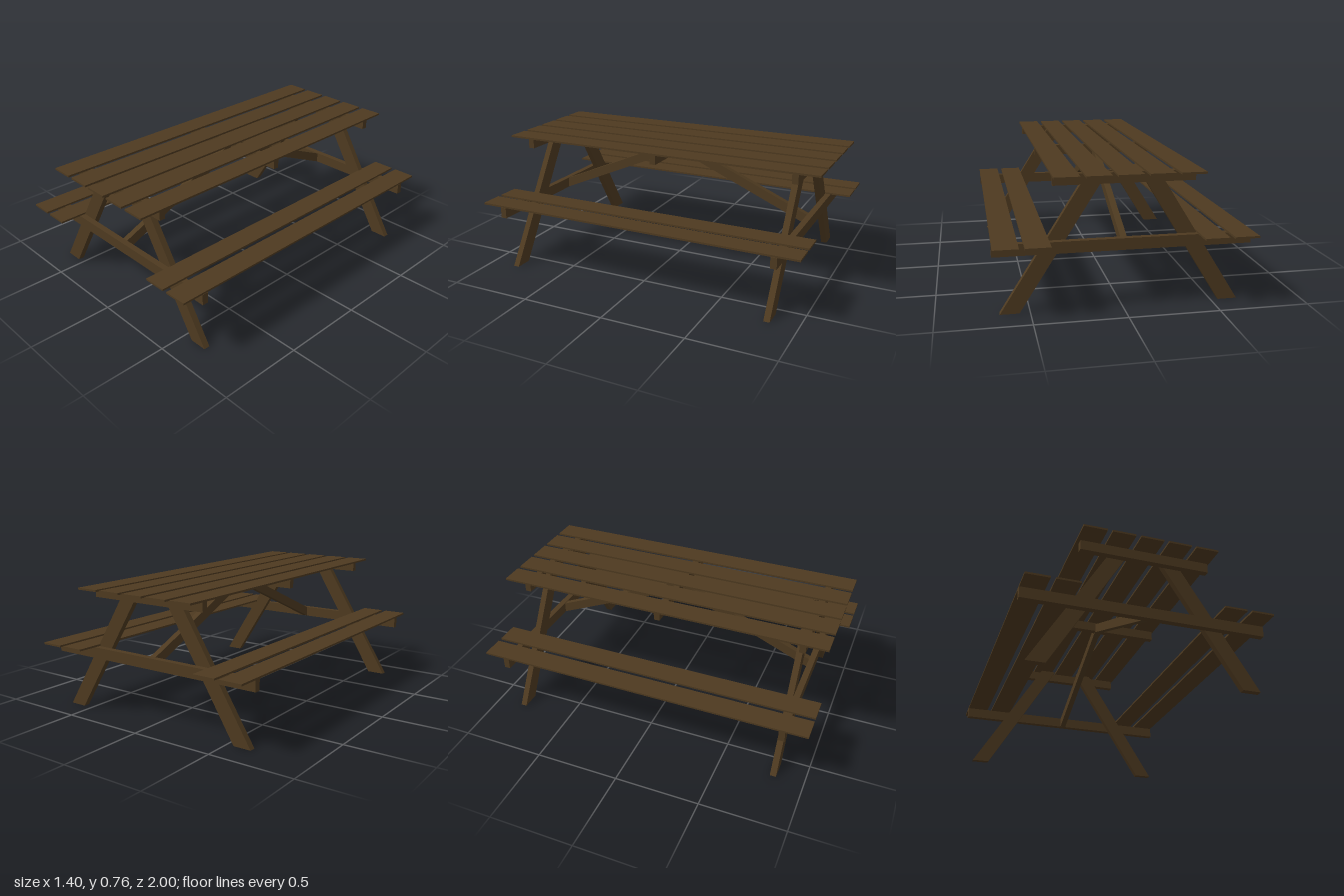
import * as THREE from 'three';

const wood = new THREE.MeshStandardMaterial({ color: 0x4e3a20, flatShading: true });

// Box given by its low and high limits on each axis
function board(name, [x0, x1], [y0, y1], [z0, z1]) {
  const mesh = new THREE.Mesh(new THREE.BoxGeometry(x1 - x0, y1 - y0, z1 - z0), wood);
  mesh.position.set((x0 + x1) / 2, (y0 + y1) / 2, (z0 + z1) / 2);
  mesh.name = name;
  return mesh;
}

// Slanted timber: an outline in the xy plane, extruded along z
function slanted(name, points, depth) {
  const shape = new THREE.Shape(points.map(([x, y]) => new THREE.Vector2(x, y)));
  const mesh = new THREE.Mesh(new THREE.ExtrudeGeometry(shape, { depth, bevelEnabled: false }), wood);
  mesh.name = name;
  return mesh;
}

export function createModel() {
  const table = new THREE.Group();
  table.name = 'picnicTable';
  const plank = 0.134;

  // Five table top planks
  for (let i = 0; i < 5; i++) {
    const x = -0.399 + i * 0.163;
    table.add(board('topPlank', [x, x + plank], [0.751, 0.762], [-1, 1]));
  }

  // Two planks for each bench, the left bench a touch higher
  for (const [x, y] of [[-0.702, 0.394], [-0.539, 0.394], [0.4, 0.397], [0.563, 0.397]]) {
    table.add(board('seatPlank', [x, x + plank], [y, y + 0.011], [-1, 1]));
  }

  // Trestle at each end: crossbeams on the outside, splayed legs inside
  for (const [beamZ, legZ] of [[0.838, 0.803], [-0.877, -0.842]]) {
    const trestle = new THREE.Group();
    trestle.name = beamZ > 0 ? 'frontTrestle' : 'backTrestle';
    trestle.add(board('topBeam', [-0.38, 0.378], [0.693, 0.751], [beamZ, beamZ + 0.036]));
    trestle.add(board('seatBeam', [-0.702, 0.697], [0.331, 0.395], [beamZ, beamZ + 0.036]));
    const legs = [
      slanted('rightLeg', [[-0.65, 0], [-0.543, 0], [-0.083, 0.751], [-0.184, 0.751]], 0.036),
      slanted('leftLeg', [[0.558, 0], [0.662, 0], [0.187, 0.751], [0.083, 0.751]], 0.036),
    ];
    for (const leg of legs) {
      leg.position.z = legZ;
      trestle.add(leg);
    }
    table.add(trestle);
  }

  // Middle crossbeam under the top
  table.add(board('middleBeam', [-0.38, 0.378], [0.693, 0.751], [-0.019, 0.017]));

  // Diagonal braces from the seat beams up to the middle beam
  for (const side of [1, -1]) {
    const outline = [[0, 0.692], [0.84, 0.331], [0.84, 0.393], [0, 0.751]];
    const brace = slanted('brace', outline, 0.036);
    // Turn the outline's x axis onto +z or -z
    brace.rotation.y = -side * Math.PI / 2;
    brace.position.x = side > 0 ? 0.016 : -0.02;
    table.add(brace);
  }
  return table;
}
